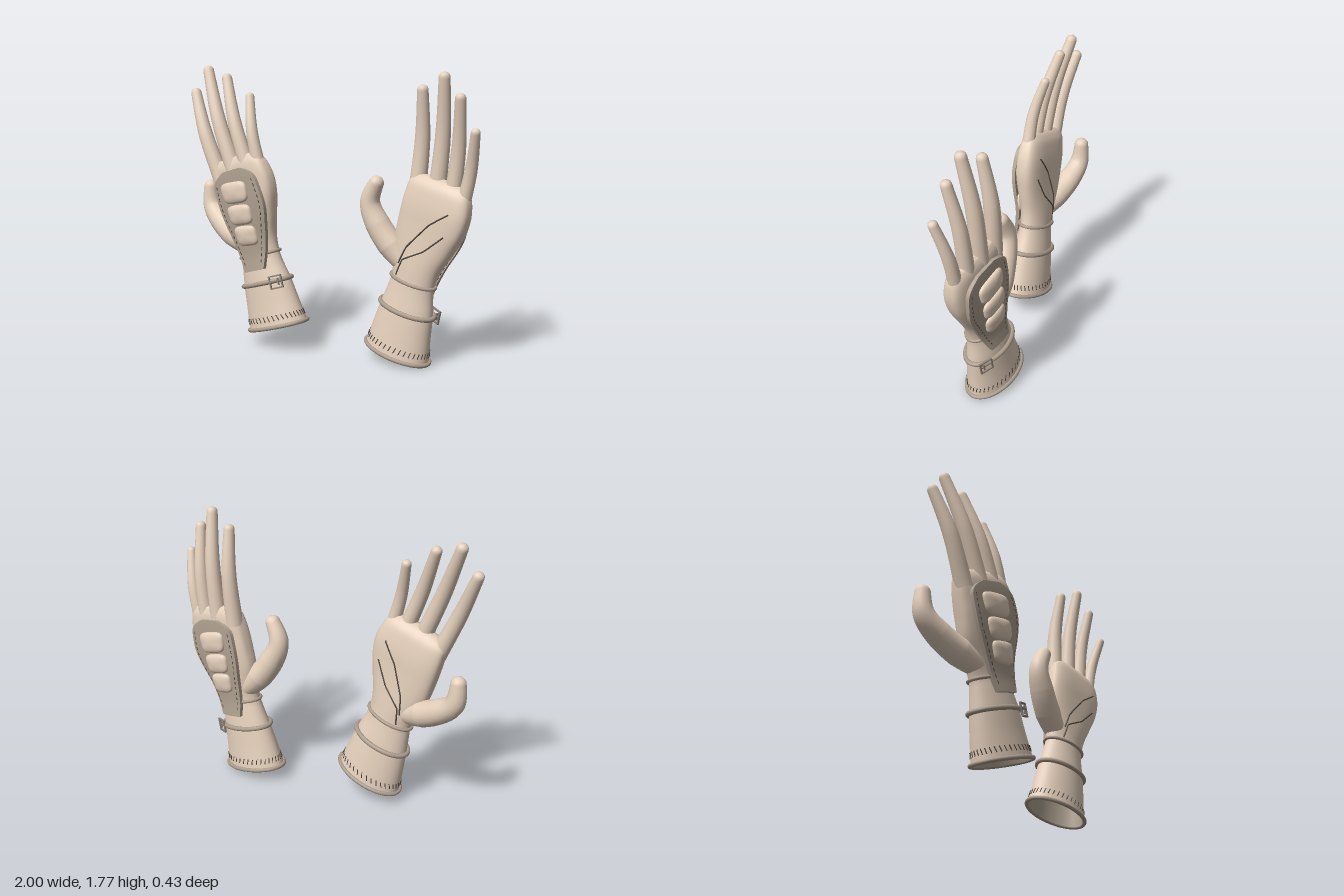
import * as THREE from 'three';
import { mergeGeometries, mergeVertices, toCreasedNormals } from 'three/addons/utils/BufferGeometryUtils.js';

const V = (x, y, z) => new THREE.Vector3(x, y, z);
const mat = (name, color, side = THREE.FrontSide) => {
  const m = new THREE.MeshStandardMaterial({ color, side });
  m.name = name;
  return m;
};

// hand sections: y, left x, right x, centre z, half depth, squareness
const SECTIONS = [
  [0, -0.219, 0.224, 0, 0.135, 2], [0.15, -0.197, 0.203, 0.004, 0.12, 2], [0.29, -0.174, 0.185, 0.01, 0.107, 2],
  [0.4, -0.152, 0.161, 0.014, 0.093, 2], [0.47, -0.142, 0.155, 0.016, 0.086, 2], [0.57, -0.155, 0.17, 0.022, 0.084, 2.2],
  [0.7, -0.18, 0.22, 0.034, 0.083, 2.6], [0.82, -0.182, 0.262, 0.042, 0.082, 3.1], [0.92, -0.18, 0.275, 0.046, 0.08, 3.2],
  [1.0, -0.175, 0.265, 0.052, 0.074, 3.2], [1.06, -0.166, 0.244, 0.057, 0.063, 3], [1.1, -0.14, 0.21, 0.062, 0.04, 2.5],
];
// back plate outline: y, left x, right x
const PLATE = [
  [0.375, -0.062, 0.1], [0.59, -0.1, 0.17], [0.77, -0.133, 0.228], [0.91, -0.138, 0.223],
  [0.965, -0.128, 0.205], [1.0, -0.085, 0.165], [1.025, -0.03, 0.11],
];
const PALM_SEAMS = [
  [[-0.076, 0.49], [-0.05, 0.597], [0.075, 0.688], [0.182, 0.814]],
  [[-0.076, 0.565], [-0.043, 0.68], [0.072, 0.851], [0.18, 0.95]],
];
// fingers: root x, y, z, tip x, y, z, root radius, tip radius
const FINGERS = {
  indexFinger: [-0.122, 0.99, 0.07, -0.202, 1.618, 0.035, 0.054, 0.032],
  middleFinger: [0.012, 1.0, 0.076, -0.062, 1.727, 0.02, 0.054, 0.033],
  ringFinger: [0.126, 1.0, 0.072, 0.075, 1.637, 0.012, 0.05, 0.031],
  littleFinger: [0.208, 0.97, 0.06, 0.224, 1.472, 0.004, 0.043, 0.027],
};

// smooth interpolation of a table by its first column
function sample(table, y) {
  const n = table.length;
  let i = 0;
  while (i < n - 2 && y > table[i + 1][0]) i++;
  const a = table[i], b = table[i + 1], h = b[0] - a[0], t = (y - a[0]) / h;
  const slope = (k, c) => {
    const p = table[Math.max(k - 1, 0)], q = table[Math.min(k + 1, n - 1)];
    return (q[c] - p[c]) / (q[0] - p[0]);
  };
  return a.map((v, c) => {
    const d = b[c] - v, m0 = slope(i, c) * h, m1 = slope(i + 1, c) * h;
    return v + t * m0 + t * t * (3 * d - 2 * m0 - m1) + t * t * t * (m0 + m1 - 2 * d);
  });
}

// point on the hand skin at height y and angle a
function skin(y, a, off = 0) {
  const [, l, r, zc, hz, n] = sample(SECTIONS, y);
  const c = Math.cos(a), s = Math.sin(a), p = (v) => Math.sign(v) * Math.abs(v) ** (2 / n);
  return V((l + r) / 2 + ((r - l) / 2 + off) * p(c), y, zc + (hz + off) * p(s));
}

// skin depth at x, y on the back (+1) or the palm (-1)
function skinZ(x, y, side) {
  const [, l, r, zc, hz, n] = sample(SECTIONS, y);
  const t = Math.min(Math.abs((x - (l + r) / 2) / ((r - l) / 2)), 0.97);
  return zc + side * hz * (1 - t ** n) ** (1 / n);
}

// outer face of the back plate, flatter than the skin
const plateZ = (x, y) => THREE.MathUtils.lerp(skinZ(x, y, 1), skinZ(0.04, y, 1), 0.55) + 0.02;

function build(points, index) {
  const g = new THREE.BufferGeometry();
  g.setAttribute('position', new THREE.Float32BufferAttribute(points.flatMap((p) => p.toArray()), 3));
  g.setIndex(index);
  g.computeVertexNormals();
  return g;
}

// closed-top sleeve through skin sections
function sleeve(top, rows, off) {
  const cols = 48, pts = [], idx = [];
  for (let i = 0; i <= rows; i++)
    for (let j = 0; j < cols; j++) pts.push(skin((top * i) / rows, (j / cols) * Math.PI * 2, off));
  const tip = pts.length, [, l, r, zc] = sample(SECTIONS, top);
  pts.push(V((l + r) / 2, top + 0.015, zc));
  for (let i = 0; i <= rows; i++)
    for (let j = 0; j < cols; j++) {
      const a = i * cols + j, b = i * cols + ((j + 1) % cols);
      if (i === rows) idx.push(a, tip, b);
      else idx.push(a, a + cols, b, b, a + cols, b + cols);
    }
  return build(pts, idx);
}

// tapered limb with a round tip
function limb(points, radii) {
  const curve = new THREE.CatmullRomCurve3(points), length = curve.getLength(), segs = 72;
  const g = new THREE.TubeGeometry(curve, segs, 1, 16);
  const pos = g.attributes.position, nor = g.attributes.normal, last = radii.length - 1;
  const cap = 1 - radii[last] / length;
  for (let i = 0; i < pos.count; i++) {
    const u = Math.floor(i / 17) / segs, f = u * last, k = Math.min(Math.floor(f), last - 1);
    let r = THREE.MathUtils.lerp(radii[k], radii[k + 1], f - k);
    if (u > cap) r *= Math.sqrt(Math.max(0, 1 - ((u - cap) / (1 - cap)) ** 2));
    const p = curve.getPointAt(u);
    pos.setXYZ(i, p.x + nor.getX(i) * r, p.y + nor.getY(i) * r, p.z + nor.getZ(i) * r);
  }
  g.deleteAttribute('uv');
  g.deleteAttribute('normal');
  const m = mergeVertices(g);
  m.computeVertexNormals();
  return m;
}

function band(y, off, radius) {
  const pts = Array.from({ length: 32 }, (_, i) => skin(y, (i / 32) * Math.PI * 2, off));
  return new THREE.TubeGeometry(new THREE.CatmullRomCurve3(pts, true), 80, radius, 10, true);
}

const dash = (a, b) => new THREE.TubeGeometry(new THREE.LineCurve3(a, b), 1, 0.003, 6);

// curved plate with a thin turned-down border
function backPlate() {
  const rows = 30, cols = 16, w = cols + 3, pts = [], idx = [];
  for (let i = -1; i <= rows + 1; i++) {
    const ci = Math.min(Math.max(i, 0), rows), y = 0.375 + (0.65 * ci) / rows;
    const [, l, r] = sample(PLATE, y);
    for (let j = -1; j <= cols + 1; j++) {
      const cj = Math.min(Math.max(j, 0), cols), x = l + ((r - l) * cj) / cols;
      pts.push(V(x, y, plateZ(x, y) - (ci !== i || cj !== j ? 0.024 : 0)));
    }
  }
  for (let i = 0; i < rows + 2; i++)
    for (let j = 0; j < w - 1; j++) {
      const a = i * w + j;
      idx.push(a, a + 1, a + w + 1, a, a + w + 1, a + w);
    }
  return mergeVertices(toCreasedNormals(build(pts, idx), 0.7));
}

// pillow-shaped pad with a rounded square outline, draped over the plate
function pad(x, y, w, h) {
  const g = new THREE.SphereGeometry(1, 40, 24).rotateX(Math.PI / 2);
  const p = g.attributes.position;
  for (let i = 0; i < p.count; i++) {
    const a = p.getX(i), b = p.getY(i), c = p.getZ(i);
    const f = Math.hypot(a, b) / Math.max((Math.abs(a) ** 4 + Math.abs(b) ** 4) ** 0.25, 1e-6);
    const taper = 1 + 0.07 * b, px = x + (a * f * w * taper) / 2, py = y + (b * f * h) / 2 - 0.08 * (px - x);
    p.setXYZ(i, px, py, plateZ(px, py) + Math.sign(c) * Math.abs(c) ** 0.7 * 0.032);
  }
  g.computeVertexNormals();
  return g;
}

// square frame with a prong, turned to face out from the strap
function buckle() {
  const bar = (w, h, x, y) => new THREE.BoxGeometry(w, h, 0.012).translate(x, y, 0);
  const parts = [bar(0.086, 0.009, 0, 0.038), bar(0.086, 0.009, 0, -0.038), bar(0.009, 0.085, -0.039, 0),
    bar(0.009, 0.085, 0.039, 0), bar(0.078, 0.008, 0, 0.006), bar(0.008, 0.045, 0.016, 0)];
  const p = skin(0.28, 0.74, 0.024);
  return mergeGeometries(parts).rotateY(0.36).translate(p.x, p.y, p.z);
}

function makeGlove(name, mats, side) {
  const glove = new THREE.Group();
  glove.name = name;
  // side -1 mirrors the glove through its palm plane
  const add = (part, g, material) => {
    if (side < 0) {
      g.scale(1, 1, -1);
      g.index.array.reverse();
    }
    const mesh = new THREE.Mesh(g, material);
    mesh.name = part;
    glove.add(mesh);
  };

  add('hand', sleeve(1.1, 66, 0), mats.leather);
  add('cuffLining', sleeve(0.4, 16, -0.01), mats.lining);
  for (const [part, [x, y, z, tx, ty, tz, r, rt]] of Object.entries(FINGERS)) {
    const mid = V((x + tx) / 2, (y + ty) / 2, (z + tz) / 2 + 0.026);
    add(part, limb([V(x, y, z), mid, V(tx, ty, tz)], [r, r * 0.85, rt]), mats.leather);
  }
  add('thumb', limb([V(-0.06, 0.54, 0.025), V(-0.165, 0.61, 0.008), V(-0.285, 0.72, -0.02),
    V(-0.368, 0.85, -0.04), V(-0.335, 1.025, -0.043)], [0.065, 0.083, 0.077, 0.06, 0.041]), mats.leather);

  // bands and buckle
  add('cuffRim', band(0.004, 0.003, 0.013), mats.trim);
  add('wristStrap', band(0.288, 0.006, 0.015), mats.trim);
  add('wristBand', band(0.47, 0.004, 0.011), mats.trim);
  add('buckle', buckle(), mats.metal);

  // back plate with knuckle pads
  add('backPlate', backPlate(), mats.plate);
  for (const [x, y, w, h] of [[0.035, 0.882, 0.205, 0.138], [0.034, 0.738, 0.185, 0.13], [0.034, 0.602, 0.165, 0.13]])
    add('pad', pad(x, y, w, h), mats.leather);

  // stitches and palm seams
  const stitches = [];
  for (let i = 0; i < 38; i++) {
    const a = (i / 38) * Math.PI * 2;
    stitches.push(dash(skin(0.042, a, 0.001), skin(0.077, a + 0.06, 0.001)));
  }
  for (const edge of [1, 2])
    for (let y = 0.42; y < 0.95; y += 0.036) {
      const at = (h) => {
        const x = sample(PLATE, h)[edge] + (edge === 1 ? 0.024 : -0.024);
        return V(x, h, plateZ(x, h));
      };
      stitches.push(dash(at(y), at(y + 0.02)));
    }
  add('stitches', mergeGeometries(stitches), mats.thread);
  for (const seam of PALM_SEAMS) {
    const path = new THREE.CatmullRomCurve3(seam.map(([x, y]) => V(x, y, 0)), false, 'catmullrom', 0.1);
    const pts = path.getPoints(24).map((p) => V(p.x, p.y, skinZ(p.x, p.y, -1)));
    add('palmSeam', new THREE.TubeGeometry(new THREE.CatmullRomCurve3(pts), 40, 0.005, 6), mats.thread);
  }
  return glove;
}

export function createModel() {
  const mats = {
    leather: mat('pale leather', 0xe5d0bc),
    lining: mat('lining', 0xb3a695, THREE.DoubleSide),
    plate: mat('plate leather', 0xb0a291, THREE.DoubleSide),
    trim: mat('trim', 0xab9c8c),
    metal: mat('buckle metal', 0x8c8276),
    thread: mat('thread', 0x544b43),
  };
  const model = new THREE.Group();
  model.name = 'gloves';
  const place = (glove, x, y, z, yaw, tilt) => {
    glove.position.set(x, y, z);
    glove.rotation.set(0, yaw, tilt, 'YXZ');
    model.add(glove);
  };
  place(makeGlove('rightGlove', mats, 1), -0.315, 0.138, 0.06, -0.15, 0.297);
  place(makeGlove('leftGlove', mats, -1), 0.467, 0.06, -0.06, -0.2, -0.207);
  return model;
}
